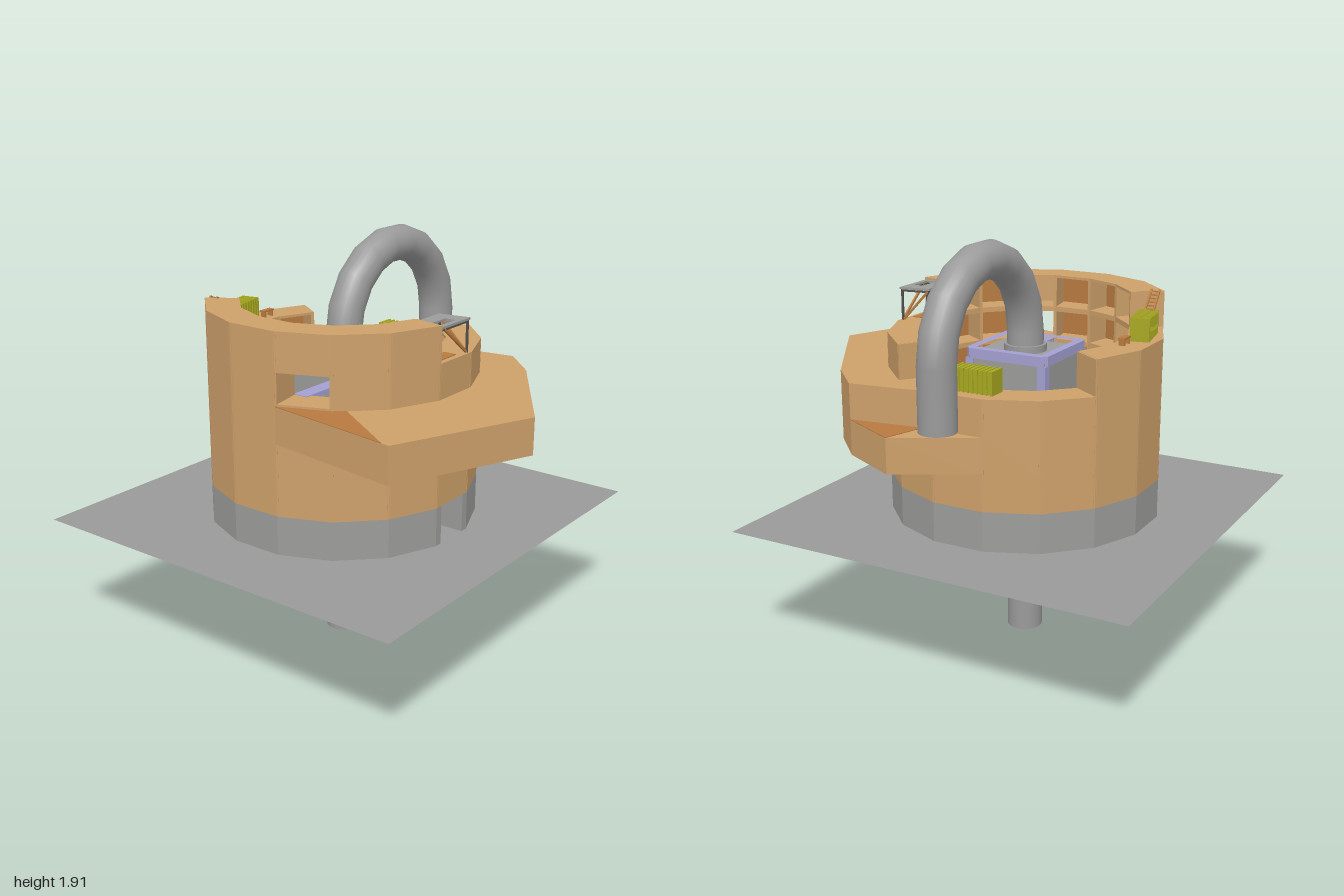
import * as THREE from 'three';

const CZ = -0.045;                       // ring centre along z
const STEP = Math.PI / 8;                // sixteen facets
const OUT = 0.615, IN = 0.46;            // ring apothems

function material(name, color, side = THREE.FrontSide) {
  const m = new THREE.MeshStandardMaterial({ color, side });
  m.name = name;
  return m;
}

// Corner k of a sixteen-sided ring, counted from the front towards +x
function corner(k, apothem = OUT) {
  const a = (k + 0.5) * STEP, r = apothem / Math.cos(STEP / 2);
  return [r * Math.sin(a), CZ + r * Math.cos(a)];
}

export function createModel() {
  const model = new THREE.Group();
  const tan = material('tan wall', 0xcda06a);
  const rust = material('rust brown', 0xb87a40);
  const grey = material('concrete grey', 0x9c9c9a);
  const metal = material('pipe grey', 0x9a9a9a, THREE.DoubleSide);
  const lavender = material('lavender', 0xa3a0d2);
  const olive = material('olive yellow', 0xa8a820);
  const dark = material('dark metal', 0x55514c);

  const group = (name, parent = model) => {
    const g = new THREE.Group();
    g.name = name;
    parent.add(g);
    return g;
  };
  const add = (name, geo, mat, parent = model) => {
    const m = new THREE.Mesh(geo, mat);
    m.name = name;
    parent.add(m);
    return m;
  };
  const box = (name, w, h, d, x, y, z, mat, parent) => {
    const m = add(name, new THREE.BoxGeometry(w, h, d), mat, parent);
    m.position.set(x, y, z);
    return m;
  };
  // Upright prism over an outline of [x, z] points
  const prism = (name, pts, y0, y1, mat, parent, hole) => {
    const toV = p => new THREE.Vector2(p[0], -p[1]);
    const s = new THREE.Shape(pts.map(toV));
    if (hole) s.holes.push(new THREE.Path(hole.map(toV)));
    const g = new THREE.ExtrudeGeometry(s, { depth: y1 - y0, bevelEnabled: false });
    g.rotateX(-Math.PI / 2).translate(0, y0, 0);
    return add(name, g, mat, parent);
  };
  const facet = (name, k, rin, rout, y0, y1, mat, parent) =>
    prism(name, [corner(k, rout), corner(k + 1, rout), corner(k + 1, rin), corner(k, rin)], y0, y1, mat, parent);
  // Square bar between two points
  const bar = (name, a, b, t, mat, parent) => {
    const p = new THREE.Vector3(...a), q = new THREE.Vector3(...b);
    const m = add(name, new THREE.BoxGeometry(t, t, p.distanceTo(q)), mat, parent);
    m.position.copy(p).add(q).multiplyScalar(0.5);
    m.lookAt(q);
    return m;
  };

  // Ground sheet
  const ground = add('groundSheet', new THREE.PlaneGeometry(1.92, 1.92), metal);
  ground.rotation.x = -Math.PI / 2;
  ground.position.set(0, 0.625, -0.04);

  // Grey base ring with a front doorway
  const base = group('baseRing');
  for (let k = 0; k < 15; k++) facet('baseWall', k, IN, OUT, 0.62, 0.805, grey, base);
  for (const s of [-1, 1]) {
    prism('doorJamb', [[s * 0.085, 0.57], corner(s > 0 ? 0 : -1), corner(s > 0 ? 0 : -1, IN), [s * 0.085, 0.415]],
      0.62, 0.805, grey, base);
  }

  // Storeys of open cells: floor and ceiling heights, first and last corner
  const storeys = [
    [0.805, 0.97, 0, 16], [0.97, 1.135, 0, 16], [1.135, 1.3, 0, 16],
    [1.3, 1.46, 6, 18], [1.46, 1.625, 9, 15],
  ];
  storeys.forEach(([y0, y1, k0, k1], level) => {
    const storey = group('storey' + (level + 1));
    for (let k = k0; k < k1; k++) {
      facet('floor', k, IN, OUT, y0, y0 + 0.012, tan, storey);
      facet('ceiling', k, IN, OUT, y1 - 0.012, y1, tan, storey);
      if (level === 3 && k === 12) continue;      // doorway to the terrace
      facet('outerWall', k, 0.595, OUT, y0, y1, tan, storey);
      if (level < 4 || [10, 11, 13].includes(k)) {
        facet('wallLining', k, 0.59, 0.595, y0 + 0.012, y1 - 0.012, rust, storey);
      }
    }
    // Partitions between the cells
    for (let k = k0; k <= k1; k++) {
      const a = (k + 0.5) * STEP, r = (IN + OUT) / 2 / Math.cos(STEP / 2);
      const p = box('partition', 0.016, y1 - y0 - 0.002, 0.156, r * Math.sin(a), (y0 + y1) / 2, CZ + r * Math.cos(a), tan, storey);
      p.rotation.y = a;
    }
  });

  // Terraces wrapping the front of the ring
  const ringRun = (from, to) => {
    const pts = [];
    for (let k = from; k >= to; k--) pts.push(corner(k));
    return pts;
  };
  prism('upperTerrace', [[-0.71, 0.73], [-0.07, 1], [0.5, 0.63], [0.67, 0.46], ...ringRun(3, -4)], 1.135, 1.3, tan);
  prism('lowerTerrace', [[0.5, 0.63], [0.67, 0.46], [0.81, 0.18], ...ringRun(4, 0)], 0.975, 1.135, tan);
  prism('upperTerracePatch', [corner(12), [-0.705, 0.69], [-0.48, 0.35], corner(13)], 1.3, 1.303, rust);
  prism('lowerTerracePatch', [[0.62, 0.12], [0.67, 0.46], [0.81, 0.18]], 1.135, 1.138, rust);

  // Central core with lavender rim and corner posts
  const core = group('core');
  const CW = 0.205;
  box('coreBody', 0.39, 0.75, 0.39, 0, 0.99, CZ, grey, core);
  const square = (h, c) => [[-h + c, -h], [h - c, -h], [h, -h + c], [h, h - c], [h - c, h], [-h + c, h], [-h, h - c], [-h, -h + c]]
    .map(([x, z]) => [x, z + CZ]);
  prism('coreRim', square(CW, 0.025), 1.35, 1.395, lavender, core, square(0.165, 0.006));
  for (const x of [-1, 1]) for (const z of [-1, 1]) {
    box('corePost', 0.04, 0.73, 0.04, x * 0.182, 0.985, CZ + z * 0.182, lavender, core);
  }
  box('bridge', 0.27, 0.02, 0.07, -0.325, 1.305, 0.085, lavender);

  // Bent pipe: riser, arch and open spout
  const pipe = group('pipe');
  const R = 0.083, BEND = 1.455, ARC = 0.375;
  const tube = (name, r, y0, y1, x) => {
    const m = add(name, new THREE.CylinderGeometry(r, r, y1 - y0, 24, 1, true), metal, pipe);
    m.position.set(x, (y0 + y1) / 2, CZ + 0.005);
  };
  tube('riser', R, 0, BEND, 0);
  tube('spout', R, 1.18, BEND, 2 * ARC);
  const path = new THREE.Curve();
  path.getPoint = (t, v = new THREE.Vector3()) =>
    v.set(ARC - ARC * Math.cos(Math.PI * t), BEND + ARC * Math.sin(Math.PI * t), CZ + 0.005);
  add('arch', new THREE.TubeGeometry(path, 9, R, 24), metal, pipe);
  const collar = add('collar', new THREE.CylinderGeometry(0.097, 0.097, 0.035, 24), metal, pipe);
  collar.position.set(0, 1.38, CZ + 0.005);

  // Ribbed crates
  const crate = (x, y, z, turn) => {
    const g = group('crate');
    g.position.set(x, y, z);
    g.rotation.y = turn;
    box('crateBody', 0.186, 0.1, 0.078, 0, 0.052, 0, olive, g);
    for (let i = 0; i < 9; i++) box('crateRib', 0.008, 0.104, 0.088, -0.09 + i * 0.0225, 0.053, 0, olive, g);
    for (const s of [-1, 1]) box('crateEnd', 0.006, 0.104, 0.088, s * 0.094, 0.053, 0, olive, g);
  };
  crate(-0.105, 1.46, -0.575, 0.2);
  crate(0.515, 1.3, -0.09, Math.PI / 2);

  // Ladder leaning from the back crate to the high wall
  const ladder = group('ladder');
  for (const z of [-0.02, 0.02]) bar('ladderRail', [-0.33, 1.63, -0.53 + z], [-0.19, 1.56, -0.56 + z], 0.009, rust, ladder);
  for (let i = 0; i < 6; i++) {
    const t = (i + 0.5) / 6;
    box('ladderRung', 0.006, 0.006, 0.04, -0.33 + 0.14 * t, 1.63 - 0.07 * t, -0.53 - 0.03 * t, rust, ladder);
  }

  // Small bench beside the back crate
  const bench = group('bench');
  box('benchSeat', 0.07, 0.008, 0.03, 0.06, 1.49, -0.555, rust, bench);
  for (const s of [-1, 1]) box('benchLeg', 0.008, 0.028, 0.028, 0.06 + s * 0.025, 1.474, -0.555, rust, bench);

  // Lookout platform on thin legs above the front wall
  const lookout = group('lookout');
  prism('lookoutDeck', [[-0.12, 0.565], [0.11, 0.565], [0.085, 0.42], [-0.09, 0.42]], 1.605, 1.615, grey, lookout,
    [[-0.09, 0.49], [-0.09, 0.54], [0.03, 0.54], [0.03, 0.49]]);
  box('deckMat', 0.13, 0.004, 0.06, -0.03, 1.463, 0.515, rust, lookout);
  const feet = [[-0.11, 0.557], [0.1, 0.557], [0.078, 0.428], [-0.083, 0.428]];
  feet.forEach(([x, z], i) => {
    const [nx, nz] = feet[(i + 1) % 4];
    bar('lookoutLeg', [x, 1.46, z], [x, 1.605, z], 0.009, dark, lookout);
    bar('lookoutBeam', [x, 1.598, z], [nx, 1.598, nz], 0.008, dark, lookout);
  });
  bar('lookoutBrace', [-0.08, 1.6, 0.557], [0.095, 1.465, 0.557], 0.01, rust, lookout);
  bar('lookoutBrace', [0.1, 1.465, 0.55], [0.08, 1.6, 0.43], 0.01, rust, lookout);

  return model;
}
